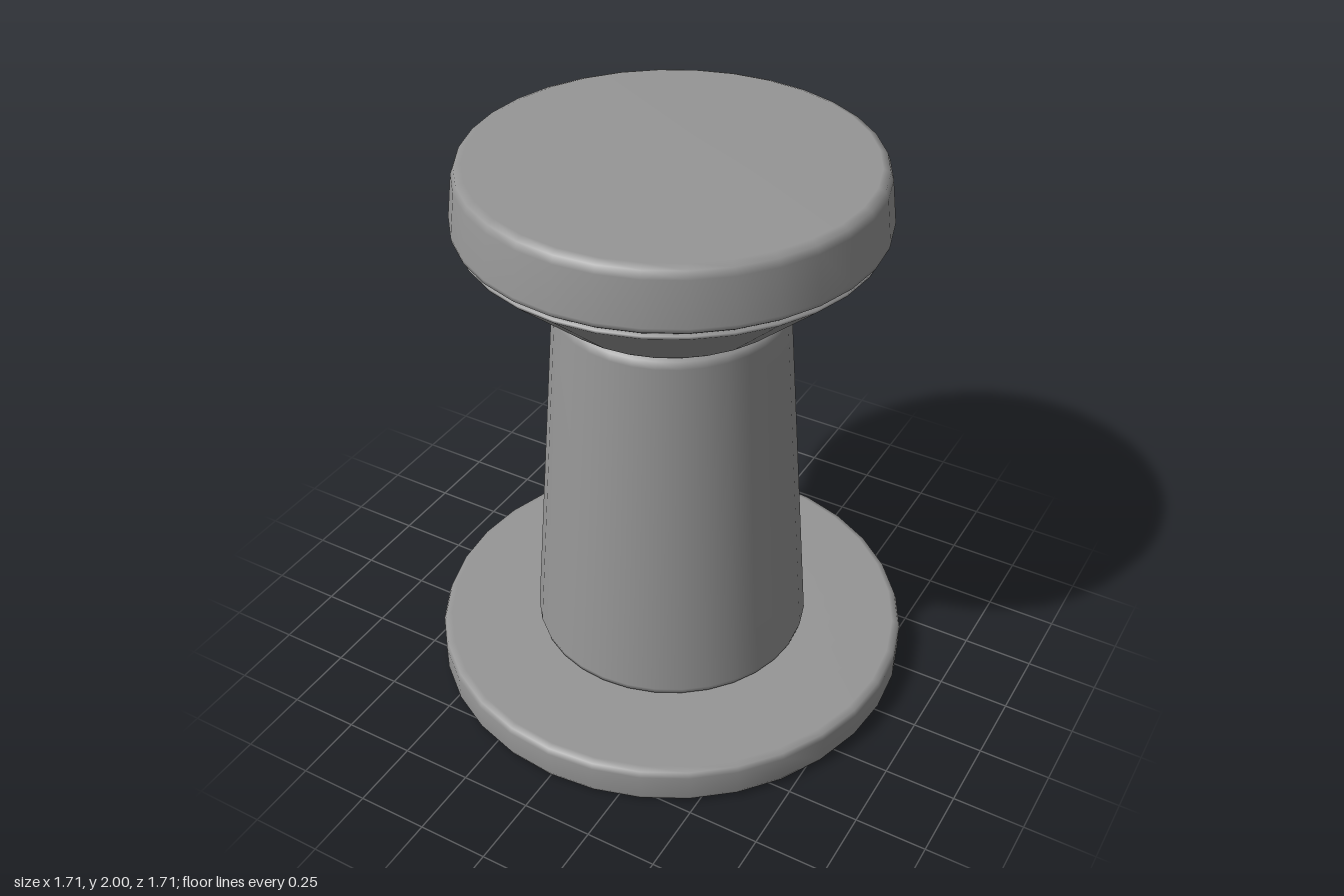
import * as THREE from 'three';

const SIDES = 32;
const material = new THREE.MeshStandardMaterial({ color: 0x969696 });

// Revolves a profile of [radius, height] points, listed from bottom to top
function turned(name, profile) {
  const points = profile.map(([r, y]) => new THREE.Vector2(r, y));
  const mesh = new THREE.Mesh(new THREE.LatheGeometry(points, SIDES), material);
  mesh.name = name;
  return mesh;
}

export function createModel() {
  const model = new THREE.Group();
  model.name = 'spool';
  model.add(
    // Flat foot disc with softened rims
    turned('base', [
      [0, 0], [0.82, 0], [0.845, 0.006], [0.855, 0.025],
      [0.855, 0.115], [0.847, 0.135], [0.825, 0.142], [0.475, 0.142],
    ]),
    // Tapered column, rounded at both ends
    turned('column', [
      [0.475, 0.142], [0.475, 0.147], [0.49, 0.153], [0.496, 0.175],
      [0.398, 1.465], [0.39, 1.49], [0.365, 1.503],
    ]),
    // Cone flaring out under the cap
    turned('flare', [
      [0.365, 1.503], [0.397, 1.509], [0.427, 1.53],
      [0.69, 1.768], [0.694, 1.78], [0.675, 1.786],
    ]),
    // Cap with a slightly tapered rim and flat top
    turned('cap', [
      [0.675, 1.786], [0.693, 1.79], [0.706, 1.8], [0.708, 1.815],
      [0.69, 1.965], [0.68, 1.99], [0.655, 2], [0, 2],
    ]),
  );
  return model;
}
